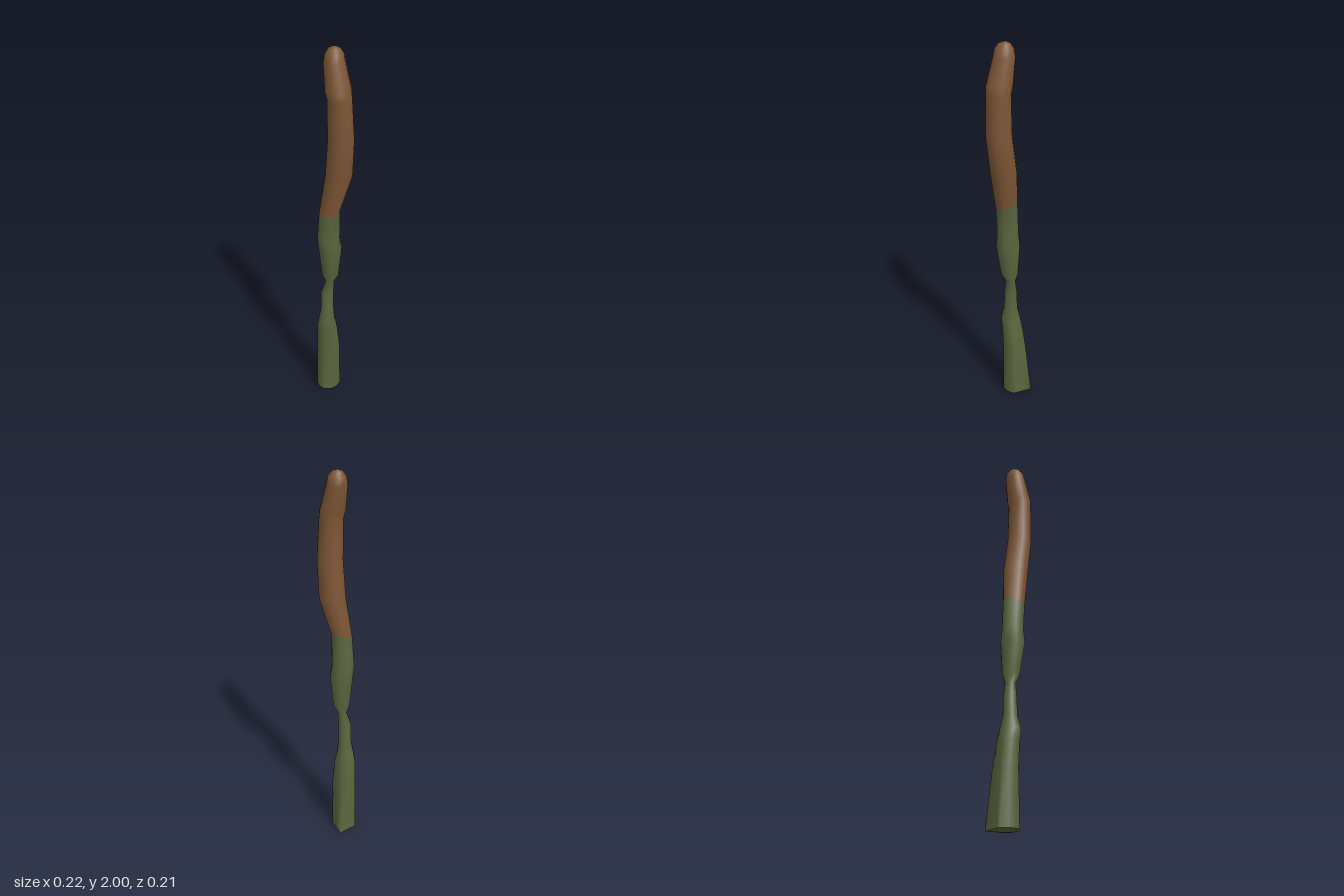
import * as THREE from 'three';

const SIDES = 12;

// Cross-sections: y, x min, x max, z min, z max
const RINGS = [
  [0.01, -0.11, 0.02, -0.107, 0.055],
  [0.3, -0.105, 0.02, -0.075, 0.05],
  [0.42, -0.1, 0.012, -0.056, 0.056],
  [0.48, -0.087, 0, -0.044, 0.064],
  [0.55, -0.075, -0.006, -0.028, 0.046],
  [0.65, -0.075, -0.006, -0.024, 0.042],
  [0.725, -0.05, -0.004, -0.02, 0.034],
  [0.77, -0.065, 0.02, -0.035, 0.055],
  [0.94, -0.08, 0.04, -0.045, 0.08],
  [1, -0.086, 0.03, -0.036, 0.075],
  [1.165, -0.073, 0.032, -0.032, 0.08],
  [1.37, -0.04, 0.095, -0.042, 0.09],
  [1.56, -0.022, 0.107, -0.023, 0.106],
  [1.765, -0.022, 0.096, -0.016, 0.106],
  [1.8, -0.033, 0.092, -0.022, 0.107],
  [1.93, -0.046, 0.056, -0.026, 0.08],
];
const COLOUR_RING = 10; // where the green stem meets the brown head
const TIP = new THREE.Vector3(0.002, 2, 0.022);

// Each ring is an ellipse; towards the ground its back half narrows to a ridge
function ringPoints([y, x0, x1, z0, z1], i) {
  const ridge = THREE.MathUtils.clamp((0.6 - y) / 0.4, 0, 1);
  const tilt = i === COLOUR_RING ? 0.02 : 0;
  const points = [];
  for (let j = 0; j < SIDES; j++) {
    const a = (j / SIDES) * Math.PI * 2;
    const c = Math.cos(a);
    let s = Math.sin(a);
    if (s < 0) s = THREE.MathUtils.lerp(s, Math.abs(c) - 1, ridge);
    points.push(new THREE.Vector3(
      (x0 + x1) / 2 + ((x1 - x0) / 2) * c,
      y - tilt * s,
      (z0 + z1) / 2 + ((z1 - z0) / 2) * s,
    ));
  }
  return points;
}

function buildGeometry(points, index) {
  const geometry = new THREE.BufferGeometry().setFromPoints(points);
  geometry.setIndex(index);
  geometry.computeVertexNormals();
  return geometry;
}

export function createModel() {
  const model = new THREE.Group();
  const green = new THREE.MeshStandardMaterial({ color: 0x5a663e });
  green.name = 'stem green';
  const brown = new THREE.MeshStandardMaterial({ color: 0x7d5635 });
  brown.name = 'head brown';

  // Rounded end: the last ring shrinks towards the tip along a quarter circle
  const rings = RINGS.map(ringPoints);
  const rim = rings[rings.length - 1];
  for (const angle of [0.5, 1.0]) {
    rings.push(rim.map((p) => new THREE.Vector3(
      THREE.MathUtils.lerp(TIP.x, p.x, Math.cos(angle)),
      THREE.MathUtils.lerp(p.y, TIP.y, Math.sin(angle)),
      THREE.MathUtils.lerp(TIP.z, p.z, Math.cos(angle)),
    )));
  }

  // One continuous skin through all the rings, in two colours
  const index = [];
  const last = rings.length - 1;
  for (let i = 0; i <= last; i++) {
    for (let j = 0; j < SIDES; j++) {
      const a = i * SIDES + j;
      const b = i * SIDES + ((j + 1) % SIDES);
      if (i === last) index.push(a, rings.length * SIDES, b);
      else index.push(a, a + SIDES, b, b, a + SIDES, b + SIDES);
    }
  }
  const skin = buildGeometry([...rings.flat(), TIP], index);
  const split = COLOUR_RING * SIDES * 6;
  skin.addGroup(0, split, 0);
  skin.addGroup(split, index.length - split, 1);
  const stalk = new THREE.Mesh(skin, [green, brown]);
  stalk.name = 'stalk';
  model.add(stalk);

  // Underside, dipping to the ground in the middle
  const fan = [];
  for (let j = 0; j < SIDES; j++) fan.push(j, (j + 1) % SIDES, SIDES);
  const cap = new THREE.Mesh(buildGeometry([...rings[0], new THREE.Vector3(-0.045, 0, -0.02)], fan), green);
  cap.name = 'stemBase';
  model.add(cap);

  return model;
}
